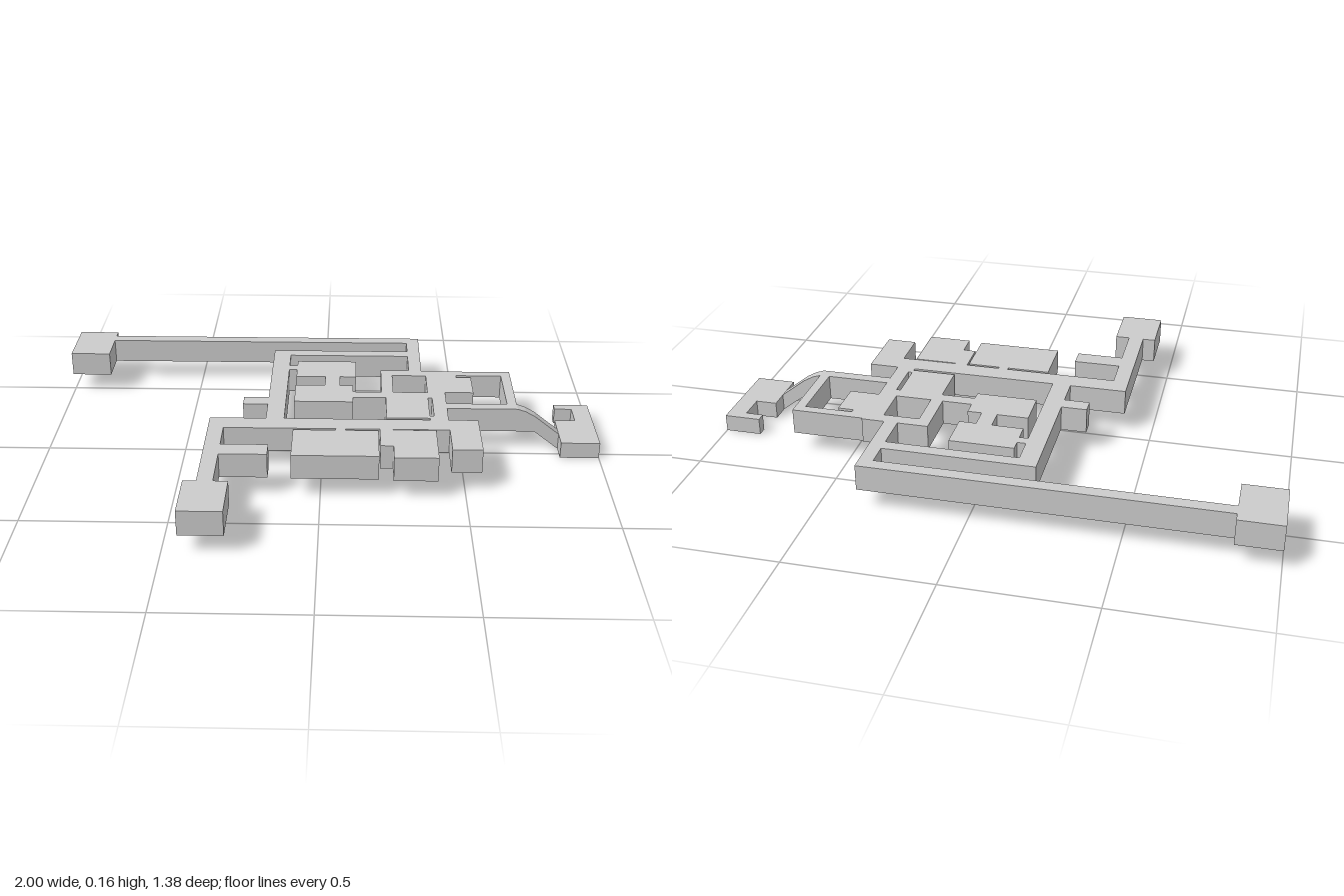
import * as THREE from 'three';

const material = new THREE.MeshStandardMaterial({ color: 0xcccccc, flatShading: true });

// Box spanning x0..x1 and z0..z1 between two heights
function block(name, [x0, x1, z0, z1], y0, y1) {
  const mesh = new THREE.Mesh(new THREE.BoxGeometry(x1 - x0, y1 - y0, z1 - z0), material);
  mesh.name = name;
  mesh.position.set((x0 + x1) / 2, (y0 + y1) / 2, (z0 + z1) / 2);
  return mesh;
}

function level(name, parts, y0, y1) {
  const group = new THREE.Group();
  group.name = name;
  for (const [part, ...rect] of parts) group.add(block(part, rect, y0, y1));
  return group;
}

// Footprints: name, x from, x to, z from, z to
const rooms = [
  ['backLeftRoom', -1, -0.85, -0.69, -0.48],
  ['frontLeftRoom', -0.445, -0.295, 0.495, 0.685],
  ['innerBackRoom', -0.105, 0.12, -0.43, -0.295],
  ['innerFrontRoom', -0.105, 0.11, -0.22, -0.085],
  ['centralRoom', 0.23, 0.385, -0.122, 0.038],
  ['sideRoom', 0.45, 0.555, -0.3, -0.17],
  ['wideFrontRoom', -0.1, 0.2, 0.135, 0.32],
  ['frontRoom', 0.25, 0.402, 0.13, 0.328],
  ['frontCornerRoom', 0.45, 0.555, 0.125, 0.268],
  ['westAlcove', -0.29, -0.2, -0.115, -0.06],
  ['frontAlcove', -0.345, -0.18, 0.245, 0.315],
];

const corridors = [
  ['longBackCorridor', -0.85, 0.37, -0.655, -0.61],
  ['backConnector', 0.322, 0.37, -0.61, -0.355],
  ['innerBackCorridor', -0.2, 0.322, -0.53, -0.485],
  ['westCorridor', -0.2, -0.135, -0.485, 0.05],
  ['mainCorridor', -0.4, 0.555, 0.05, 0.125],
  ['frontLeftCorridor', -0.4, -0.345, 0.125, 0.495],
  ['eastCorridor', 0.4, 0.45, -0.31, 0.05],
  // square ring around a court
  ['ringBack', 0.215, 0.45, -0.355, -0.31],
  ['ringLeft', 0.215, 0.258, -0.31, -0.168],
  ['ringFront', 0.11, 0.4, -0.168, -0.122],
  ['ringRight', 0.385, 0.4, -0.31, -0.168],
  // eastern loop
  ['loopBack', 0.45, 0.705, -0.35, -0.315],
  ['loopRight', 0.67, 0.705, -0.315, -0.08],
  ['loopFront', 0.45, 0.705, -0.08, -0.04],
];

const doorways = [
  ['innerRoomDoorway', -0.135, -0.105, -0.39, -0.355],
  ['roomLink', 0.005, 0.06, -0.295, -0.22],
  ['sideRoomDoorway', 0.45, 0.5, -0.315, -0.3],
  ['centralDoorway', 0.385, 0.4, 0.02, 0.05],
  ['wideRoomDoorway', 0.05, 0.085, 0.125, 0.135],
  ['frontRoomPassage', 0.205, 0.25, 0.125, 0.245],
];

const lowerRooms = [
  ['lowerRoom', 0.86, 1, -0.147, 0.028],
  ['lowerPassage', 0.935, 1, -0.275, -0.147],
  ['lowerHook', 0.872, 0.935, -0.275, -0.24],
];

export function createModel() {
  const model = new THREE.Group();
  model.name = 'floorPlan';
  model.add(
    level('rooms', rooms, 0.07, 0.16),
    level('corridors', corridors, 0.07, 0.16),
    level('doorways', doorways, 0.07, 0.16),
    level('lowerLevel', lowerRooms, 0, 0.06),
  );

  // Sloping passage down to the lower level
  const profile = new THREE.Shape([
    [0.705, 0.07], [0.77, 0.07], [0.86, 0], [0.86, 0.06], [0.77, 0.13], [0.735, 0.15], [0.705, 0.16],
  ].map(([x, y]) => new THREE.Vector2(x, y)));
  const ramp = new THREE.Mesh(
    new THREE.ExtrudeGeometry(profile, { depth: 0.04, bevelEnabled: false }), material);
  ramp.name = 'ramp';
  ramp.position.z = -0.08;
  model.add(ramp);
  return model;
}
